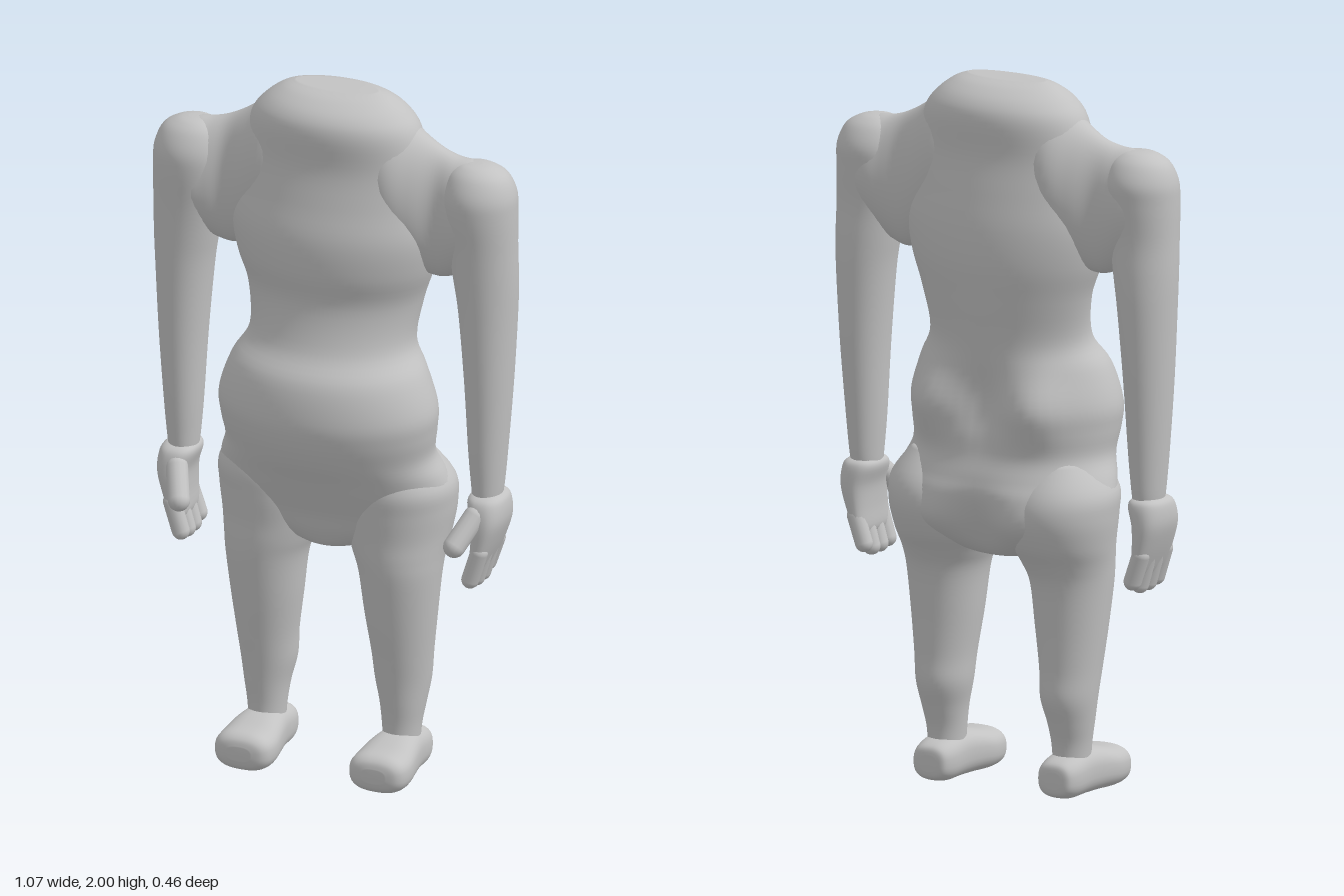
import * as THREE from 'three';

const skin = new THREE.MeshStandardMaterial({ color: 0xc2c2c2 });
skin.name = 'plainGrey';

// Smooth loft along an axis (0 x, 1 y, 2 z). Each section is
// [position, uLow, uHigh, vLow, vHigh], u and v being the next two axes in turn.
function loft(axis, sections, { sides = 40, steps = 5, power = 2, shape } = {}) {
  const rows = [];
  const n = sections.length;
  for (let i = 0; i < n - 1; i++) {
    const at = (k) => sections[Math.min(n - 1, Math.max(0, k))];
    for (let s = 0; s < steps || (i === n - 2 && s === steps); s++) {
      const t = s / steps;
      rows.push(at(i).map((b, k) => {
        const a = at(i - 1)[k], c = at(i + 1)[k], d = at(i + 2)[k];
        return b + 0.5 * t * (c - a + t * (2 * a - 5 * b + 4 * c - d + t * (3 * (b - c) + d - a)));
      }));
    }
  }
  const pos = [], index = [];
  const put = (p, u, v) => {
    const q = [0, 0, 0];
    q[axis] = p;
    q[(axis + 1) % 3] = u;
    q[(axis + 2) % 3] = v;
    if (shape) shape(q);
    pos.push(...q);
  };
  const round = (c) => Math.sign(c) * Math.abs(c) ** (2 / power);
  for (const [p, u0, u1, v0, v1] of rows) {
    for (let j = 0; j < sides; j++) {
      const a = (j / sides) * Math.PI * 2;
      put(p, (u0 + u1) / 2 + (u1 - u0) / 2 * round(Math.cos(a)),
        (v0 + v1) / 2 + (v1 - v0) / 2 * round(Math.sin(a)));
    }
  }
  const last = rows.length - 1;
  for (const r of [rows[0], rows[last]]) put(r[0], (r[1] + r[2]) / 2, (r[3] + r[4]) / 2);
  const low = rows.length * sides;
  for (let j = 0; j < sides; j++) {
    const k = (j + 1) % sides;
    for (let i = 0; i < last; i++) {
      const a = i * sides + j, b = i * sides + k;
      index.push(a, b, b + sides, a, b + sides, a + sides);
    }
    index.push(low, k, j, low + 1, last * sides + j, last * sides + k);
  }
  const g = new THREE.BufferGeometry();
  g.setAttribute('position', new THREE.Float32BufferAttribute(pos, 3));
  g.setIndex(index);
  g.computeVertexNormals();
  return g;
}

// Rounded finger between two points
function digit(from, to, radius) {
  const a = new THREE.Vector3(...from), b = new THREE.Vector3(...to);
  const dir = b.clone().sub(a);
  const g = new THREE.CapsuleGeometry(radius, dir.length(), 6, 14);
  g.applyQuaternion(new THREE.Quaternion().setFromUnitVectors(new THREE.Vector3(0, 1, 0), dir.normalize()));
  const mid = a.add(b).multiplyScalar(0.5);
  return g.translate(mid.x, mid.y, mid.z);
}

function mirrored(geometry) {
  const g = geometry.clone().scale(-1, 1, 1);
  const idx = g.index.array;
  for (let i = 0; i < idx.length; i += 3) [idx[i], idx[i + 1]] = [idx[i + 1], idx[i]];
  return g;
}

export function createModel() {
  const model = new THREE.Group();
  model.name = 'headlessFigure';
  const add = (name, g) => {
    const m = new THREE.Mesh(g, skin);
    m.name = name;
    model.add(m);
  };
  const pair = (name, g) => {
    add(name + 'Left', g);
    add(name + 'Right', mirrored(g));
  };

  // Torso: height, back z, front z, half width
  const bump = (v, c, w) => Math.exp(-(((v - c) / w) ** 2));
  const torso = [
    [0.66, -0.09, 0.03, 0.05], [0.675, -0.14, 0.06, 0.12], [0.72, -0.19, 0.085, 0.23],
    [0.78, -0.225, 0.105, 0.315], [0.85, -0.23, 0.14, 0.335], [0.9, -0.215, 0.165, 0.325],
    [0.96, -0.198, 0.198, 0.302], [1.03, -0.2, 0.223, 0.31], [1.1, -0.202, 0.231, 0.313],
    [1.2, -0.19, 0.21, 0.28], [1.28, -0.19, 0.155, 0.238], [1.4, -0.208, 0.126, 0.253],
    [1.5, -0.222, 0.143, 0.285], [1.6, -0.22, 0.144, 0.3], [1.7, -0.205, 0.122, 0.285],
    [1.8, -0.19, 0.105, 0.27], [1.9, -0.194, 0.11, 0.245], [1.95, -0.175, 0.092, 0.207],
    [1.985, -0.13, 0.045, 0.16], [2, -0.085, 0, 0.12],
  ].map(([y, back, front, w]) => [y, back, front, -w, w]);
  add('torso', loft(1, torso, {
    sides: 64,
    shape: (q) => {
      // Hollow of the spine at the waist and the seat, with fuller flanks
      if (q[2] > -0.04) return;
      const depth = Math.min(1, (-0.04 - q[2]) / 0.1);
      const x = Math.abs(q[0]);
      const waist = bump(q[1], 1.1, 0.1), seat = bump(q[1], 0.76, 0.09);
      q[2] += depth * (0.04 * waist + 0.035 * seat) * bump(x, 0, 0.07);
      q[2] -= depth * (0.04 * waist * bump(x, 0.18, 0.08) + 0.02 * seat * bump(x, 0.16, 0.08));
    },
  }));

  // Shoulder yoke: x, low y, high y, back z, front z
  pair('shoulder', loft(0, [
    [0.1, 1.6, 1.985, -0.15, 0.06], [0.18, 1.55, 1.955, -0.165, 0.075], [0.25, 1.5, 1.9, -0.145, 0.055],
    [0.31, 1.485, 1.865, -0.125, 0.034], [0.36, 1.5, 1.848, -0.128, 0.045], [0.41, 1.53, 1.842, -0.135, 0.058],
    [0.46, 1.56, 1.828, -0.125, 0.05], [0.495, 1.6, 1.8, -0.1, 0.025],
  ]));

  // Arm: height, back z, front z, inner x, outer x
  pair('arm', loft(1, [
    [0.86, -0.09, 0.018, 0.412, 0.492], [0.9, -0.096, 0.022, 0.408, 0.497], [1, -0.105, 0.03, 0.4, 0.506],
    [1.2, -0.12, 0.04, 0.388, 0.521], [1.4, -0.13, 0.046, 0.37, 0.532], [1.5, -0.13, 0.05, 0.355, 0.536],
    [1.6, -0.126, 0.056, 0.34, 0.536], [1.7, -0.134, 0.066, 0.325, 0.536], [1.76, -0.136, 0.064, 0.325, 0.532],
    [1.81, -0.112, 0.04, 0.34, 0.51], [1.835, -0.08, 0.01, 0.37, 0.47], [1.842, -0.05, -0.02, 0.4, 0.435],
  ]));

  // Hand
  pair('palm', loft(1, [
    [0.655, -0.085, 0.035, 0.437, 0.457], [0.68, -0.105, 0.055, 0.422, 0.47], [0.74, -0.112, 0.058, 0.423, 0.495],
    [0.8, -0.115, 0.056, 0.42, 0.513], [0.85, -0.11, 0.045, 0.406, 0.511], [0.87, -0.095, 0.025, 0.415, 0.497],
    [0.877, -0.06, -0.01, 0.44, 0.47],
  ], { power: 2.5, sides: 32 }));
  [[0.036, 0.632], [-0.006, 0.625], [-0.048, 0.625], [-0.087, 0.64]].forEach(([z, y], i) => {
    pair('finger' + (i + 1), digit([0.457, 0.715, z], [0.431, y, z], 0.025));
  });
  pair('thumb', digit([0.443, 0.82, 0.035], [0.41, 0.75, 0.098], 0.031));

  // Leg: height, back z, front z, inner x, outer x
  pair('leg', loft(1, [
    [0.09, -0.085, 0.03, 0.15, 0.25], [0.15, -0.088, 0.03, 0.145, 0.256], [0.21, -0.105, 0.036, 0.137, 0.266],
    [0.28, -0.127, 0.045, 0.122, 0.277], [0.36, -0.125, 0.058, 0.115, 0.286], [0.48, -0.13, 0.078, 0.098, 0.3],
    [0.6, -0.142, 0.095, 0.083, 0.313], [0.66, -0.165, 0.1, 0.062, 0.32], [0.72, -0.2, 0.101, 0.04, 0.33],
    [0.8, -0.222, 0.108, 0.03, 0.341], [0.87, -0.205, 0.11, 0.05, 0.337], [0.95, -0.14, 0.08, 0.12, 0.28],
  ]));

  // Foot: z, inner x, outer x, low y, high y
  pair('foot', loft(2, [
    [-0.13, 0.175, 0.225, 0.035, 0.08], [-0.122, 0.15, 0.25, 0.014, 0.103], [-0.085, 0.137, 0.263, 0.002, 0.118],
    [-0.02, 0.133, 0.267, 0.002, 0.13], [0.04, 0.123, 0.277, 0.002, 0.128], [0.1, 0.115, 0.285, 0, 0.116],
    [0.145, 0.118, 0.282, 0.004, 0.113], [0.168, 0.135, 0.265, 0.018, 0.1], [0.176, 0.165, 0.235, 0.04, 0.08],
  ], { power: 2.6 }));

  return model;
}
